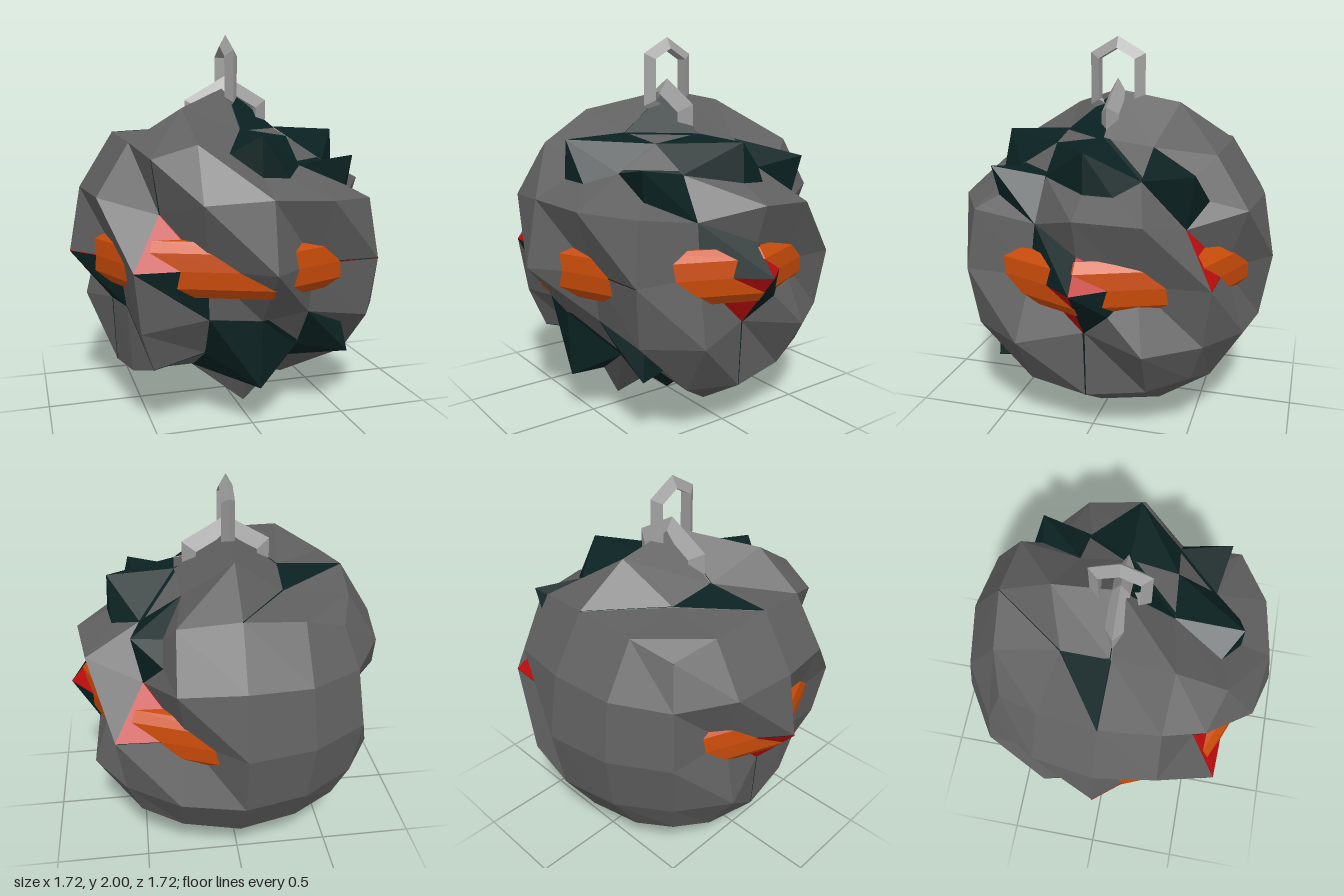
import * as THREE from 'three';

const MID = 0.865; // height of the centre
const mat = (name, color) =>
  Object.assign(new THREE.MeshStandardMaterial({ color, flatShading: true }), { name });

// Lattice points (-2..2 on a cube) of the outer shell that are pushed in
const DENTS = new Set([
  // band at the middle
  '2,0,0', '1,0,2', '-1,0,2', '1,0,-2', '2,0,1', '2,0,-1', '-2,0,1', '-2,0,-1',
  '2,1,1', '2,-1,0', '-2,-1,0', '-2,-1,1', '-2,1,2', '2,1,-2',
  // top
  '1,2,0', '-1,2,0', '0,2,1', '1,2,1', '1,2,-1', '-1,2,-1',
  '2,2,0', '0,2,2', '2,2,2', '2,2,-2', '2,2,1', '2,2,-1', '1,2,2',
  // bottom
  '0,-2,0', '0,-2,2', '2,-2,2', '0,-1,2', '1,-1,2', '-1,-1,2',
  '1,-2,2', '-1,-2,2', '-1,-2,0', '1,-2,1', '-1,-2,1',
]);
const count = (p, n) => p.filter((v) => Math.abs(v) === n).length;

// Rounded position of a lattice point: size of its 2s and of its 1s
const SIZES = {
  10: [0.86, 0], 11: [0.8, 0.34], 12: [0.75, 0.32],
  20: [0.623, 0], 21: [0.585, 0.305], 30: [0.515, 0],
};
function place(p) {
  const [two, one] = SIZES[`${count(p, 2)}${count(p, 1)}`];
  return new THREE.Vector3(
    ...p.map((v) => Math.sign(v) * (Math.abs(v) === 2 ? two : Math.abs(v) * one)));
}

// Cells are cut through their even corner or across it, in a checker pattern
function cutThrough(spike, cell) {
  const onEdge = count(spike, 0) === 1;
  const positive = cell[0] * cell[1] * cell[2] > 0;
  return onEdge === (positive !== (Math.abs(cell[0]) === 2));
}

const shellScale = (p) => (DENTS.has(p.join(',')) ? 0.8 : 1);

// Core: spikes at the even points, hollows between them
function coreScale(p, through) {
  const odd = count(p, 1);
  if (odd === 0) return 1.002;
  return odd === 2 && !through ? 0.78 : 0.803;
}

// Sphere made of six 4 x 4 cube faces, keeping only the wanted cells
function cubeSphere(scale, keep = () => true) {
  const pos = [];
  for (let axis = 0; axis < 3; axis++) {
    for (const side of [-2, 2]) {
      const corner = (u, v) => {
        const p = [0, 0, 0];
        p[axis] = side;
        p[(axis + 1) % 3] = u;
        p[(axis + 2) % 3] = v;
        return p;
      };
      for (let i = -2; i < 2; i++) {
        for (let j = -2; j < 2; j++) {
          const cell = corner(i + 0.5, j + 0.5);
          if (!keep(cell)) continue;
          let q = [[i, j], [i + 1, j], [i + 1, j + 1], [i, j + 1]].map((c) => corner(...c));
          if (side < 0) q.reverse();
          const start = q.findIndex((p) => count(p, 1) === 0);
          q = [...q.slice(start), ...q.slice(0, start)];
          const through = cutThrough(q[0], cell);
          const pts = q.map((p) => place(p).multiplyScalar(scale(p, through)));
          const order = through ? [0, 1, 2, 0, 2, 3] : [0, 1, 3, 1, 2, 3];
          for (const k of order) pos.push(...pts[k].toArray());
        }
      }
    }
  }
  const g = new THREE.BufferGeometry();
  g.setAttribute('position', new THREE.Float32BufferAttribute(pos, 3));
  g.computeVertexNormals();
  return g;
}

// Six-sided chain link of triangular bar, its lower half stretched down
function linkGeometry(radius, tube, stretch) {
  const g = new THREE.TorusGeometry(radius, tube, 3, 6);
  g.rotateZ(Math.PI / 6);
  const p = g.attributes.position;
  for (let i = 0; i < p.count; i++) {
    if (p.getY(i) < 0) p.setY(i, p.getY(i) - stretch);
  }
  g.computeVertexNormals();
  return g;
}

export function createModel() {
  const model = new THREE.Group();
  const grey = mat('shell grey', 0x606060);
  const teal = mat('core dark teal', 0x0b2222);
  const red = mat('core red', 0xc00c0c);
  const orange = mat('band orange', 0xcc4c0a);
  const metal = mat('link metal', 0xa0a0a0);

  const add = (name, geometry, material, y = MID) => {
    const m = new THREE.Mesh(geometry, material);
    m.name = name;
    m.position.y = y;
    model.add(m);
    return m;
  };

  // Dented outer shell
  add('outerShell', cubeSphere(shellScale), grey);

  // Spiked core, left open at the front and back centre and beside the link
  const isKept = ([x, y, z]) =>
    !(Math.abs(z) === 2 && Math.abs(x) < 1 && Math.abs(y) < 1) &&
    !(x === 0.5 && y === 2 && z === -0.5);
  // Closed ridges at the diagonals of the middle
  const isRidge = ([x, y, z]) => Math.abs(x) === 2 && Math.abs(y) < 1 && Math.abs(z) > 1;
  // Red cells fill alternate octants along the middle
  const isRed = ([x, y, z]) => Math.abs(y) < 1 && x * y * z < 0;
  const isOpen = (c) => isKept(c) && !isRidge(c);
  add('spikedCore', cubeSphere(coreScale, (c) => isOpen(c) && !isRed(c)), teal);
  add('redCells', cubeSphere(coreScale, (c) => isOpen(c) && isRed(c)), red);

  // Eight-sided orange band that shows through the dents
  const profile = [
    [0.55, -0.135], [0.755, -0.135], [0.795, -0.085], [0.803, 0],
    [0.795, 0.085], [0.755, 0.135], [0.55, 0.135],
  ].map(([r, y]) => new THREE.Vector2(r, y));
  add('orangeBand', new THREE.LatheGeometry(profile, 8), orange);

  // Two crossing links on top
  add('lowerLink', linkGeometry(0.21, 0.055, 0), metal, 1.52);
  add('upperLink', linkGeometry(0.133, 0.04, 0.1), metal, 1.827)
    .rotation.y = Math.PI / 2;

  return model;
}
